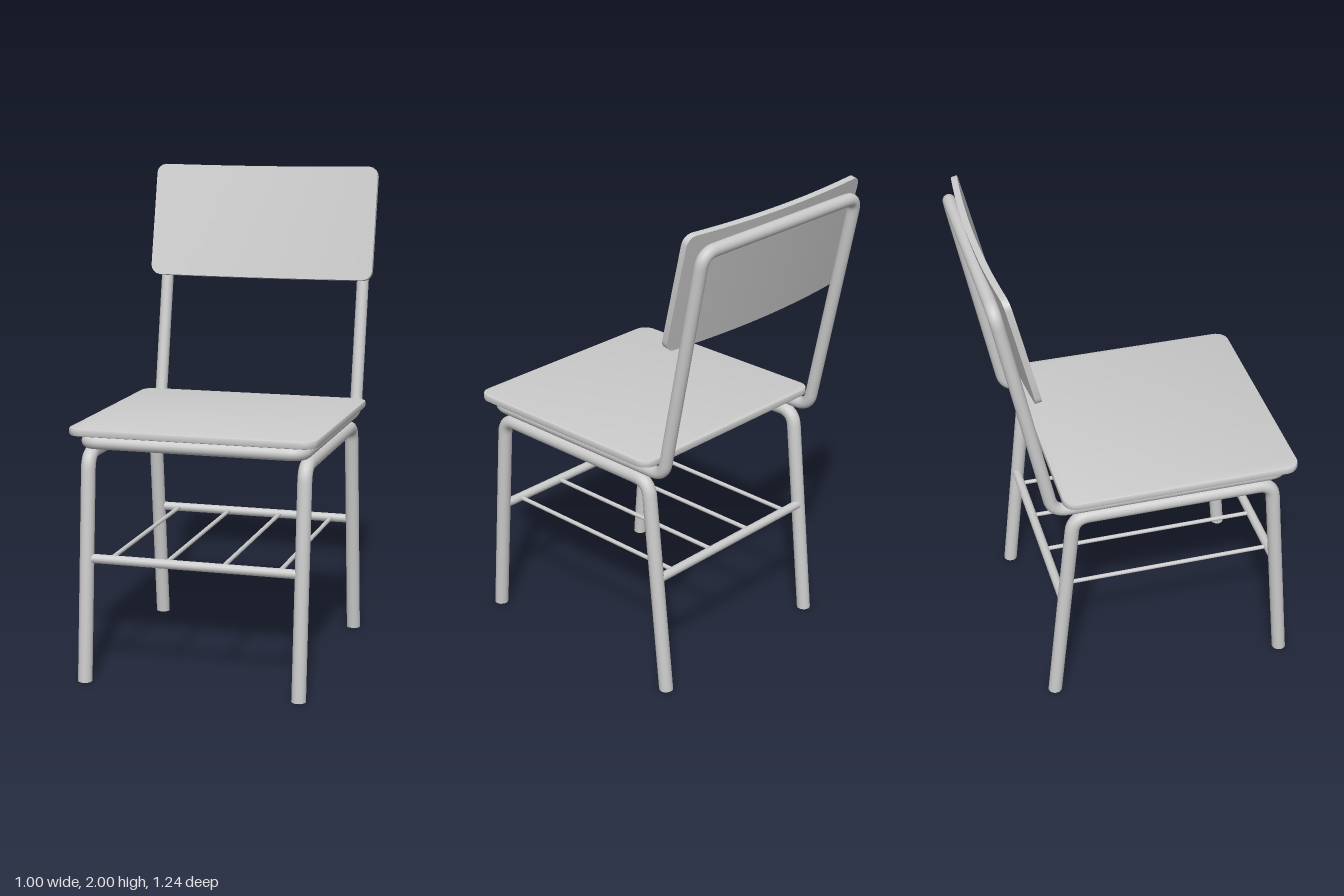
import * as THREE from 'three';
import { toCreasedNormals } from 'three/addons/utils/BufferGeometryUtils.js';

const V = (x, y, z) => new THREE.Vector3(x, y, z);
const material = new THREE.MeshStandardMaterial({ color: 0xcccccc });

function addMesh(parent, name, geometry) {
  const mesh = new THREE.Mesh(geometry, material);
  mesh.name = name;
  parent.add(mesh);
  return mesh;
}

// Curve that passes exactly through a list of closely spaced points
class PointPath extends THREE.Curve {
  constructor(points) {
    super();
    this.points = points;
  }
  getPoint(t, target = V(0, 0, 0)) {
    const n = this.points.length - 1;
    const i = Math.min(Math.floor(t * n + 1e-6), n - 1);
    return target.lerpVectors(this.points[i], this.points[i + 1], t * n - i);
  }
  getPointAt(t, target) {
    return this.getPoint(t, target);
  }
  // Average of the directions before and after a point
  getTangentAt(t, target = V(0, 0, 0)) {
    const p = this.points, n = p.length - 1, i = Math.round(t * n);
    const closed = p[0].distanceTo(p[n]) < 1e-6;
    const before = i > 0 ? i - 1 : closed ? n - 1 : 0;
    const after = i < n ? i + 1 : closed ? 1 : n;
    const a = p[i].clone().sub(p[before]).normalize();
    const b = p[after].clone().sub(p[i]).normalize();
    return target.addVectors(a, b).normalize();
  }
  getTangent(t, target) {
    return this.getTangentAt(t, target);
  }
}

// Bent pipe: straight runs joined by rounded corners
function bentTube(corners, bend, radius, closed) {
  const n = corners.length, points = [];
  corners.forEach((c, i) => {
    if (!closed && (i === 0 || i === n - 1)) {
      points.push(c.clone());
      return;
    }
    const toPrev = corners[(i + n - 1) % n].clone().sub(c).normalize();
    const toNext = corners[(i + 1) % n].clone().sub(c).normalize();
    const curve = new THREE.QuadraticBezierCurve3(
      c.clone().addScaledVector(toPrev, bend), c,
      c.clone().addScaledVector(toNext, bend));
    points.push(...curve.getPoints(8));
  });
  if (closed) points.push(points[0].clone());
  return new THREE.TubeGeometry(new PointPath(points), points.length - 1, radius, 16, closed);
}

// Straight round bar between two points
function addBar(parent, name, a, b, radius) {
  const bar = addMesh(parent, name, new THREE.CylinderGeometry(radius, radius, a.distanceTo(b), 12));
  bar.position.lerpVectors(a, b, 0.5);
  bar.quaternion.setFromUnitVectors(V(0, 1, 0), b.clone().sub(a).normalize());
}

// Flat seat board with rounded corners and a slight edge bevel
function seatGeometry() {
  const bevel = 0.006, w = 0.5 - bevel, d = 0.485 - bevel, r = 0.05;
  const shape = new THREE.Shape();
  shape.absarc(w - r, d - r, r, 0, Math.PI / 2);
  shape.absarc(-w + r, d - r, r, Math.PI / 2, Math.PI);
  shape.absarc(-w + r, -d + r, r, Math.PI, Math.PI * 1.5);
  shape.absarc(w - r, -d + r, r, Math.PI * 1.5, Math.PI * 2);
  const geometry = new THREE.ExtrudeGeometry(shape, {
    depth: 0.018, bevelEnabled: true, bevelThickness: bevel, bevelSize: bevel,
    bevelSegments: 2, curveSegments: 6,
  });
  geometry.rotateX(-Math.PI / 2);
  geometry.translate(0, 1.006, 0.125);
  return toCreasedNormals(geometry, 0.6);
}

// Backrest board: rounded corners, bowed backwards in the middle
function backrestGeometry() {
  const hw = 0.493, hh = 0.2435, r = 0.04, bow = 0.027;
  const geometry = new THREE.BoxGeometry(2, 2, 0.025, 32, 4, 1);
  const p = geometry.attributes.position;
  for (let i = 0; i < p.count; i++) {
    const x = hw * Math.sin(p.getX(i) * Math.PI / 2);
    const over = Math.max(0, Math.abs(x) - (hw - r));
    const half = hh - r + Math.sqrt(Math.max(0, r * r - over * over));
    p.setXYZ(i, x, p.getY(i) * half, p.getZ(i) - bow * (1 - (x / hw) ** 2));
  }
  return toCreasedNormals(geometry, 0.6);
}

export function createModel() {
  const chair = new THREE.Group();
  chair.name = 'chair';

  addMesh(chair, 'seat', seatGeometry());

  const backrest = addMesh(chair, 'backrest', backrestGeometry());
  backrest.position.set(0, 1.76, -0.4995);
  backrest.rotation.x = -Math.atan(0.235);

  // One closed pipe carries both the seat and the backrest
  const x = 0.44;
  addMesh(chair, 'seatAndBackFrame', bentTube([
    V(x, 0.97, 0.56), V(x, 0.97, -0.398), V(x, 1.926, -0.592),
    V(-x, 1.926, -0.592), V(-x, 0.97, -0.398), V(-x, 0.97, 0.56),
  ], 0.06, 0.026, true));

  // Inverted U of front and back leg on each side, with flat feet
  for (const side of [1, -1]) {
    const legs = new THREE.Group();
    legs.name = side > 0 ? 'leftLegs' : 'rightLegs';
    const geometry = bentTube([
      V(side * x, 0, 0.59), V(side * x, 0.917, 0.513),
      V(side * x, 0.917, -0.316), V(side * x, 0, -0.41),
    ], 0.065, 0.029, false);
    const p = geometry.attributes.position;
    for (let i = 0; i < p.count; i++) if (p.getY(i) < 0.02) p.setY(i, 0);
    addMesh(legs, 'legPipe', geometry);
    for (const z of [0.59, -0.41]) {
      const cap = addMesh(legs, 'footCap', new THREE.CircleGeometry(0.029, 16));
      cap.rotation.x = Math.PI / 2;
      cap.position.set(side * x, 0, z);
    }
    chair.add(legs);
  }

  // Book rack below the seat: two cross bars and four thin rods
  const rack = new THREE.Group();
  rack.name = 'rack';
  const y = 0.497, front = 0.548, back = -0.366;
  addBar(rack, 'frontCrossBar', V(-0.43, y, front), V(0.43, y, front), 0.019);
  addBar(rack, 'backCrossBar', V(-0.43, y, back), V(0.43, y, back), 0.019);
  for (const rx of [-0.345, -0.115, 0.115, 0.345]) {
    addBar(rack, 'rackRod', V(rx, y, front), V(rx, y, back), 0.009);
  }
  chair.add(rack);

  return chair;
}
